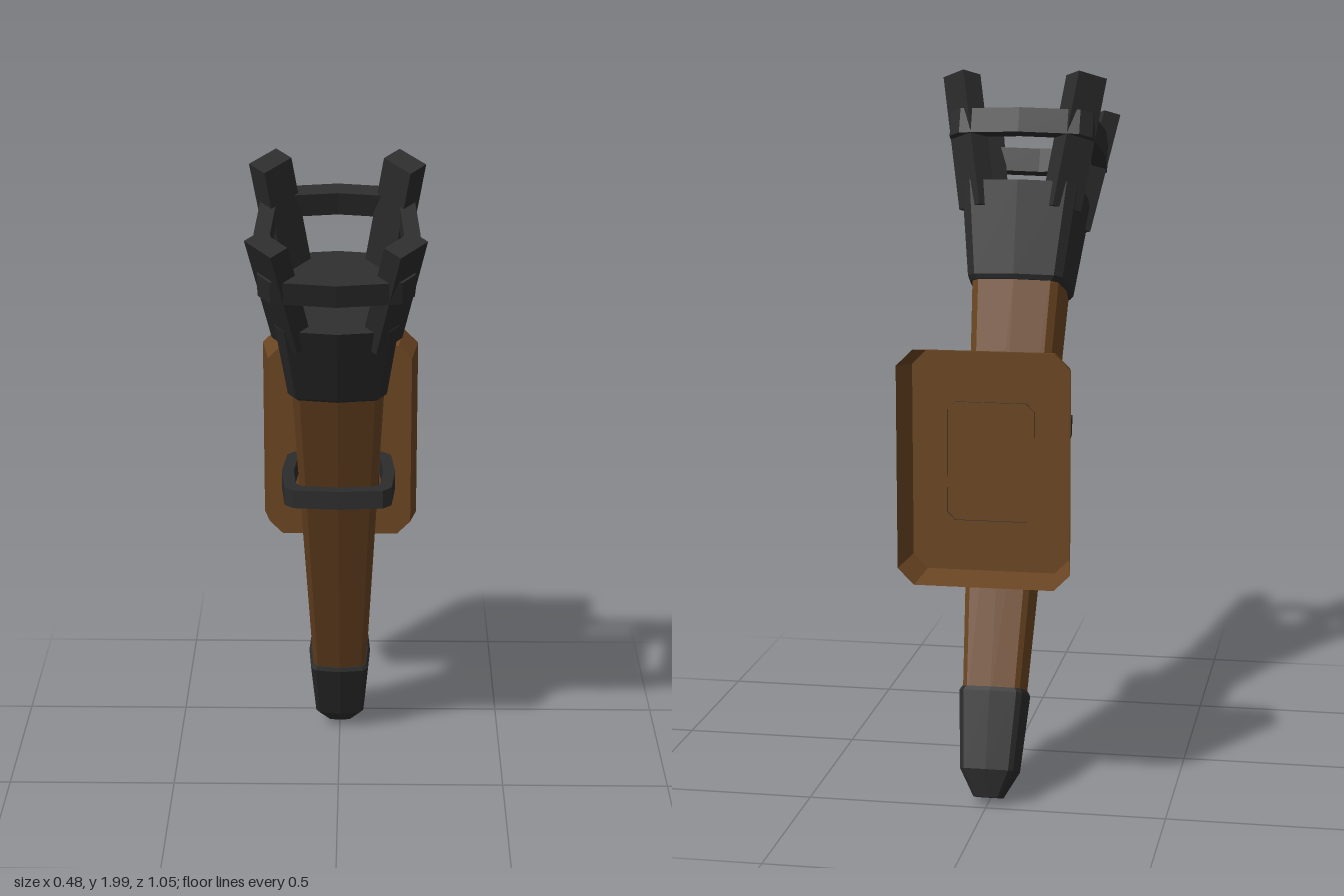
import * as THREE from 'three';

// Skin a list of equal-length point loops (counter-clockwise about the loft axis), with flat faces
function loft(loops, capStart = true, capEnd = true) {
  const pos = [];
  const tri = (...pts) => pts.forEach((p) => pos.push(p.x, p.y, p.z));
  const n = loops[0].length;
  for (let k = 0; k < loops.length - 1; k++) {
    for (let i = 0; i < n; i++) {
      const j = (i + 1) % n;
      const [a, b, c, d] = [loops[k][i], loops[k][j], loops[k + 1][j], loops[k + 1][i]];
      tri(a, b, c);
      tri(a, c, d);
    }
  }
  const first = loops[0], last = loops[loops.length - 1];
  for (let i = 1; i < n - 1; i++) {
    if (capStart) tri(first[0], first[i + 1], first[i]);
    if (capEnd) tri(last[0], last[i], last[i + 1]);
  }
  const g = new THREE.BufferGeometry();
  g.setAttribute('position', new THREE.Float32BufferAttribute(pos, 3));
  g.computeVertexNormals();
  return g;
}

// Square section with bevelled corners and slightly bowed sides, at height y
function section(r, y) {
  const pts = [];
  for (let s = 0; s < 4; s++) {
    for (const [u, v] of [[-0.78, 0.93], [0, 1], [0.78, 0.93]]) {
      const p = new THREE.Vector3(u * r, y, v * r);
      pts.push(p.applyAxisAngle(new THREE.Vector3(0, 1, 0), (s * Math.PI) / 2));
    }
  }
  return pts;
}

// Hollow band between heights y0 and y1
function band(outer, inner, y0, y1) {
  return loft([section(outer, y0), section(outer, y1), section(inner, y1),
    section(inner, y0), section(outer, y0)], false, false);
}

// Upright rectangle with cut corners, at depth z
function panel(w, h, c, z) {
  return [[w, c - h], [w, h - c], [w - c, h], [c - w, h], [-w, h - c], [-w, c - h], [c - w, -h], [w - c, -h]]
    .map(([x, y]) => new THREE.Vector3(x, y, z));
}

// Four corners of a post standing on the diagonal
function postLoop(center, y) {
  return [[-0.05, 0.03], [0.05, 0.03], [0.05, -0.03], [-0.05, -0.03]].map(([t, r]) => {
    const d = center * Math.SQRT2 + r;
    return new THREE.Vector3((d + t) * Math.SQRT1_2, y, (d - t) * Math.SQRT1_2);
  });
}

export function createModel() {
  const wood = new THREE.MeshStandardMaterial({ color: 0x6a4522, side: THREE.DoubleSide });
  wood.name = 'brown wood';
  const iron = new THREE.MeshStandardMaterial({ color: 0x2c2c2c, side: THREE.DoubleSide });
  iron.name = 'dark iron';

  const model = new THREE.Group();
  model.name = 'wallTorch';
  const add = (parent, name, geometry, material) => {
    const mesh = new THREE.Mesh(geometry, material);
    mesh.name = name;
    parent.add(mesh);
    return mesh;
  };

  // Leaning torch, built along its own axis
  const torch = new THREE.Group();
  torch.name = 'torch';
  torch.position.set(0, 0.022, -0.457);
  torch.rotation.x = THREE.MathUtils.degToRad(21.8);
  model.add(torch);

  add(torch, 'shaft', loft([section(0.084, 0.25), section(0.135, 1.48)]), wood);
  add(torch, 'endCap', loft([section(0.04, 0), section(0.08, 0.075), section(0.095, 0.29),
    section(0.088, 0.302)]), iron);
  add(torch, 'cup', loft([section(0.138, 1.452), section(0.147, 1.465), section(0.18, 1.732)]), iron);
  add(torch, 'basketBand', band(0.222, 0.178, 1.86, 1.932), iron);

  // Four flared posts around the basket
  for (let i = 0; i < 4; i++) {
    const post = add(torch, 'basketPost', loft([postLoop(0.12, 1.66), postLoop(0.181, 2.037)]), iron);
    post.rotation.y = (i * Math.PI) / 2;
  }

  // Level strap around the shaft, with the arm to the wall
  const strap = add(model, 'strap', band(0.165, 0.13, 0.955, 1.01), iron);
  strap.position.z = -0.06;
  const armGeometry = new THREE.CylinderGeometry(0.023, 0.023, 0.19, 8).toNonIndexed();
  armGeometry.computeVertexNormals();
  const arm = add(model, 'arm', armGeometry, iron);
  arm.rotation.x = Math.PI / 2;
  arm.position.set(0, 0.982, -0.29);

  // Mounting plate and open-backed wall board
  const plate = add(model, 'mountingPlate', loft([panel(0.12, 0.165, 0.022, -0.416),
    panel(0.12, 0.165, 0.022, -0.376), panel(0.114, 0.159, 0.02, -0.37)], false, true), iron);
  const board = add(model, 'wallBoard', loft([panel(0.237, 0.324, 0.045, -0.525),
    panel(0.217, 0.306, 0.04, -0.41)], false, true), wood);
  plate.position.y = board.position.y = 0.968;

  return model;
}
